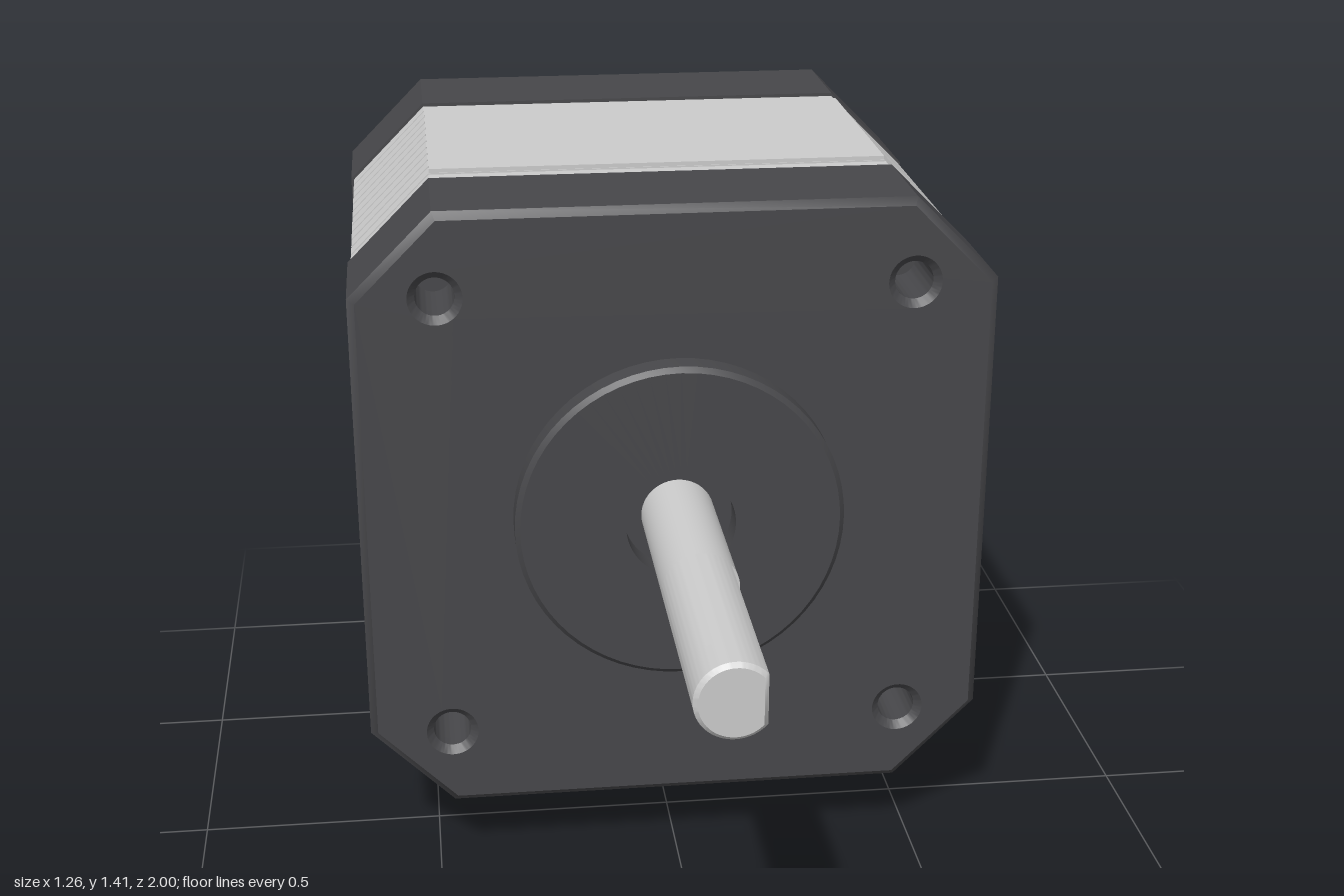
import * as THREE from 'three';
import { toCreasedNormals } from 'three/addons/utils/BufferGeometryUtils.js';

const CY = 0.775;      // height of the motor axis
const BOLT = 0.465;    // bolt offset from the axis
const mat = (color) => new THREE.MeshStandardMaterial({ color });

// Square with cut corners: half width h, straight edges end at c
function octagon(h, c) {
  return new THREE.Shape([
    [h, -c], [h, c], [c, h], [-c, h], [-h, c], [-h, -c], [-c, -h], [c, -h],
  ].map(([x, y]) => new THREE.Vector2(x, y)));
}

function circlePath(r, x = 0, y = 0) {
  return new THREE.Path().absarc(x, y, r, 0, Math.PI * 2, true);
}

// Extrusion from z = 0 to z = length, chamfered on the far end only
function extrude(shape, length, bevel = 0) {
  const geo = new THREE.ExtrudeGeometry(shape, {
    depth: length - bevel, curveSegments: 32, bevelEnabled: bevel > 0,
    bevelThickness: bevel, bevelSize: bevel, bevelOffset: -bevel, bevelSegments: 1,
  });
  const p = geo.attributes.position;
  for (let i = 0; i < p.count; i++) p.setZ(i, Math.max(0, p.getZ(i)));
  geo.computeVertexNormals();
  return toCreasedNormals(geo, 0.6);
}

export function createModel() {
  const motor = new THREE.Group();
  motor.name = 'stepperMotor';
  const dark = mat(0x47474a);
  const screwMat = mat(0x3c3c3f);
  const steel = mat(0xcccccc);
  const ivory = mat(0xe2dfd4);

  const add = (name, geo, material, x, y, z, parent = motor) => {
    const mesh = new THREE.Mesh(geo, material);
    mesh.name = name;
    mesh.position.set(x, y, z);
    parent.add(mesh);
    return mesh;
  };
  const corners = [[1, 1], [-1, 1], [-1, -1], [1, -1]].map(([x, y]) => [x * BOLT, y * BOLT]);

  // End caps with four bolt holes each
  const capGeometry = (length, holeRadius) => {
    const shape = octagon(0.632, 0.465);
    corners.forEach(([x, y]) => shape.holes.push(circlePath(holeRadius, x, y)));
    return extrude(shape, length, 0.015);
  };
  add('frontCap', capGeometry(0.26, 0.038), dark, 0, CY, -0.07);
  add('backCap', capGeometry(0.27, 0.075), dark, 0, CY, -0.73).rotation.y = Math.PI;

  // Hole floors and recessed socket screws
  const headShape = new THREE.Shape().absarc(0, 0, 0.067, 0, Math.PI * 2, false);
  const hex = [];
  for (let i = 0; i < 6; i++) {
    const a = -i * Math.PI / 3;
    hex.push(new THREE.Vector2(0.034 * Math.cos(a), 0.034 * Math.sin(a)));
  }
  headShape.holes.push(new THREE.Path(hex));
  const headGeo = extrude(headShape, 0.06, 0.008);
  const frontFloor = new THREE.CircleGeometry(0.045, 32);
  const backFloor = new THREE.CircleGeometry(0.08, 32);
  for (const [x, y] of corners) {
    add('frontHoleFloor', frontFloor, dark, x, CY + y, 0.02);
    add('backHoleFloor', backFloor, screwMat, x, CY + y, -0.945).rotation.y = Math.PI;
    add('screwHead', headGeo, screwMat, x, CY + y, -0.93).rotation.y = Math.PI;
  }

  // Laminated stator: slabs around a slightly smaller core
  const stator = new THREE.Group();
  stator.name = 'stator';
  motor.add(stator);
  add('statorCore', extrude(octagon(0.608, 0.452), 0.66), steel, 0, CY, -0.73, stator);
  const slabGeo = extrude(octagon(0.626, 0.464), 0.044);
  for (let i = 0; i < 12; i++) {
    add('lamination', slabGeo, steel, 0, CY, -0.73 + i * 0.055 + 0.0055, stator);
  }
  add('topPlate', new THREE.BoxGeometry(0.926, 0.03, 0.535), steel, 0, 1.394, -0.4);

  // Raised ring on the front face
  const ring = [[0.109, 0], [0.109, 0.06], [0.318, 0.06], [0.328, 0.05], [0.328, 0]]
    .map(([r, y]) => new THREE.Vector2(r, y)).reverse();
  const ringGeo = toCreasedNormals(new THREE.LatheGeometry(ring, 64), 0.6);
  add('pilotRing', ringGeo, dark, 0, CY, 0.19).rotation.x = Math.PI / 2;

  // Shaft: round at the root, flat on the left side towards the tip
  const R = 0.073;
  const shaft = new THREE.CylinderGeometry(R, R, 0.4, 48).rotateX(Math.PI / 2);
  add('shaftRoot', shaft, steel, 0, CY, 0.35);
  const a = Math.acos(0.056 / R);
  const dShape = new THREE.Shape().absarc(0, 0, R, a, Math.PI * 2 - a, false);
  add('shaftTip', extrude(dShape, 0.45, 0.008), steel, 0, CY, 0.55);

  // Connector: open socket under the back cap
  const rect = (w, d) => [[-w, -d], [w, -d], [w, d], [-w, d]]
    .map(([x, y]) => new THREE.Vector2(x, y));
  const socket = new THREE.Shape(rect(0.185, 0.09));
  socket.holes.push(new THREE.Path(rect(0.16, 0.065)));
  add('connectorShell', extrude(socket, 0.16), ivory, 0, 0.16, -0.865).rotation.x = Math.PI / 2;
  add('connectorFloor', new THREE.BoxGeometry(0.34, 0.06, 0.15), ivory, 0, 0.13, -0.865);

  return motor;
}
